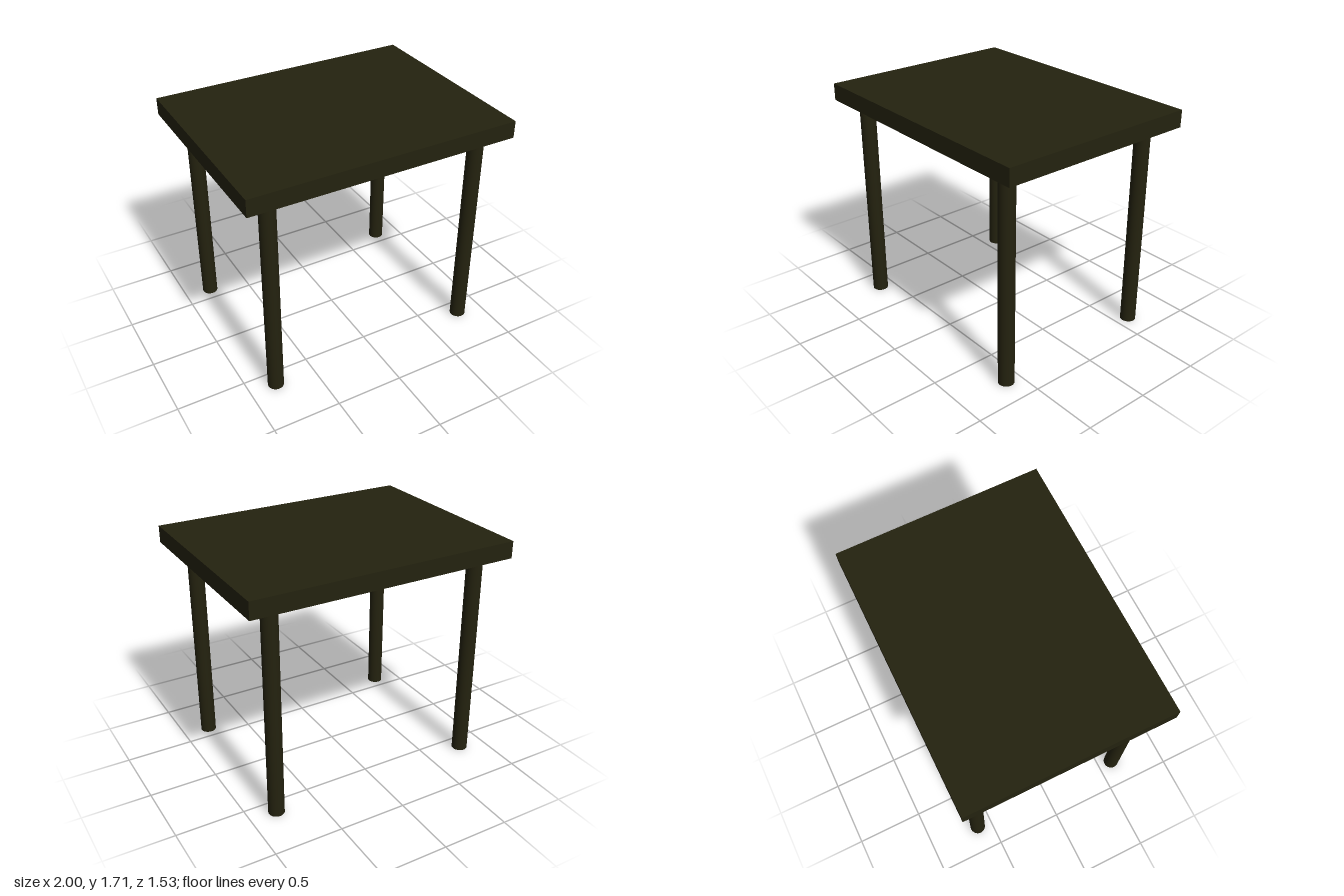
import * as THREE from 'three';

const TOP_WIDTH = 2, TOP_DEPTH = 1.526, TOP_THICKNESS = 0.126;
const LEG_HEIGHT = 1.587, LEG_RADIUS = 0.058;
const LEG_X = 0.8, LEG_Z = 0.612;

export function createModel() {
  const table = new THREE.Group();
  table.name = 'table';

  const darkWood = new THREE.MeshStandardMaterial({ color: 0x24220f });
  darkWood.name = 'dark wood';

  // Flat slab top
  const top = new THREE.Mesh(new THREE.BoxGeometry(TOP_WIDTH, TOP_THICKNESS, TOP_DEPTH), darkWood);
  top.name = 'tableTop';
  top.position.y = LEG_HEIGHT + TOP_THICKNESS / 2;
  table.add(top);

  // Four round legs, set in from the corners
  const legGeometry = new THREE.CylinderGeometry(LEG_RADIUS, LEG_RADIUS, LEG_HEIGHT, 32);
  for (const sx of [-1, 1]) {
    for (const sz of [-1, 1]) {
      const leg = new THREE.Mesh(legGeometry, darkWood);
      leg.name = (sz > 0 ? 'front' : 'back') + (sx > 0 ? 'Left' : 'Right') + 'Leg';
      leg.position.set(sx * LEG_X, LEG_HEIGHT / 2, sz * LEG_Z);
      table.add(leg);
    }
  }

  return table;
}
